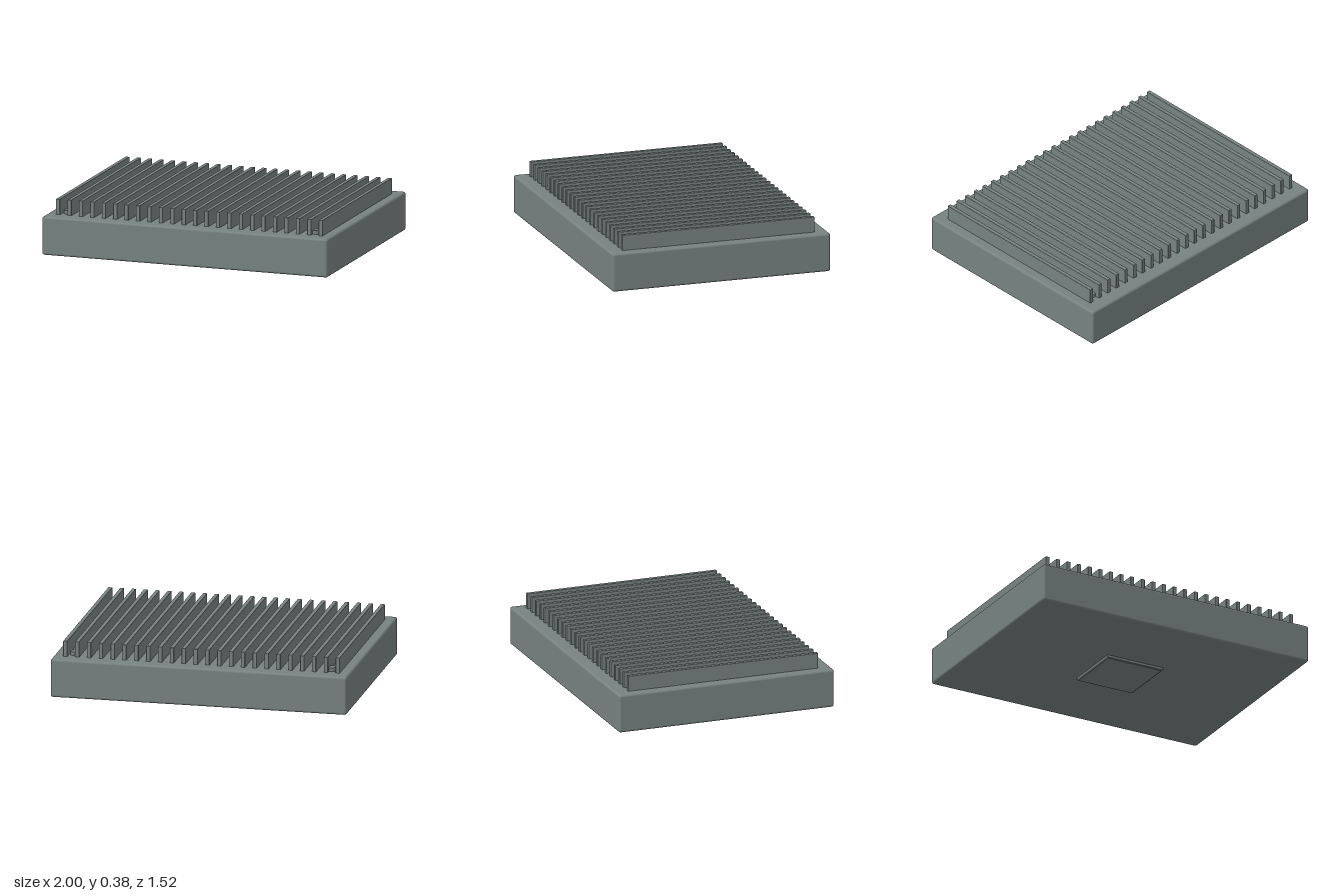
import * as THREE from 'three';
import { RoundedBoxGeometry } from 'three/addons/geometries/RoundedBoxGeometry.js';

export function createModel() {
  const model = new THREE.Group();
  model.name = 'heatSink';
  const metal = new THREE.MeshStandardMaterial({ color: 0x778281 });
  metal.name = 'grey metal';

  const add = (name, geometry, x, y, z) => {
    const mesh = new THREE.Mesh(geometry, metal);
    mesh.name = name;
    mesh.position.set(x, y, z);
    model.add(mesh);
    return mesh;
  };
  // Rounded block given by its bottom and top heights
  const block = (name, w, y0, y1, d, r, x = 0) =>
    add(name, new RoundedBoxGeometry(w, y1 - y0, d, 2, r), x, (y0 + y1) / 2, 0);

  // Main slab, contact pad underneath and raised plate under the fins
  block('base', 2, 0.02, 0.28, 1.52, 0.016);
  block('contactPad', 0.42, 0.004, 0.03, 0.42, 0.006);
  add('contactFace', new THREE.BoxGeometry(0.4, 0.01, 0.4), 0, 0.005, 0);
  block('centrePlate', 0.42, 0.26, 0.297, 0.42, 0.006);

  // Row of cooling fins
  for (let i = 0; i < 24; i++) {
    block('fin', 0.028, 0.265, 0.385, 1.34, 0.004, -0.92 + i * 0.08);
  }

  // Corner screw heads
  const screw = new THREE.CylinderGeometry(0.032, 0.032, 0.035, 24);
  for (const x of [-0.865, 0.865]) {
    for (const z of [-0.61, 0.61]) add('screw', screw, x, 0.2875, z);
  }

  // Low arched boss at the front edge of the plate
  const boss = add('archedBoss', new THREE.CylinderGeometry(0.135, 0.135, 0.09, 32), 0, 0.175, 0.213);
  boss.rotation.x = Math.PI / 2;

  return model;
}
